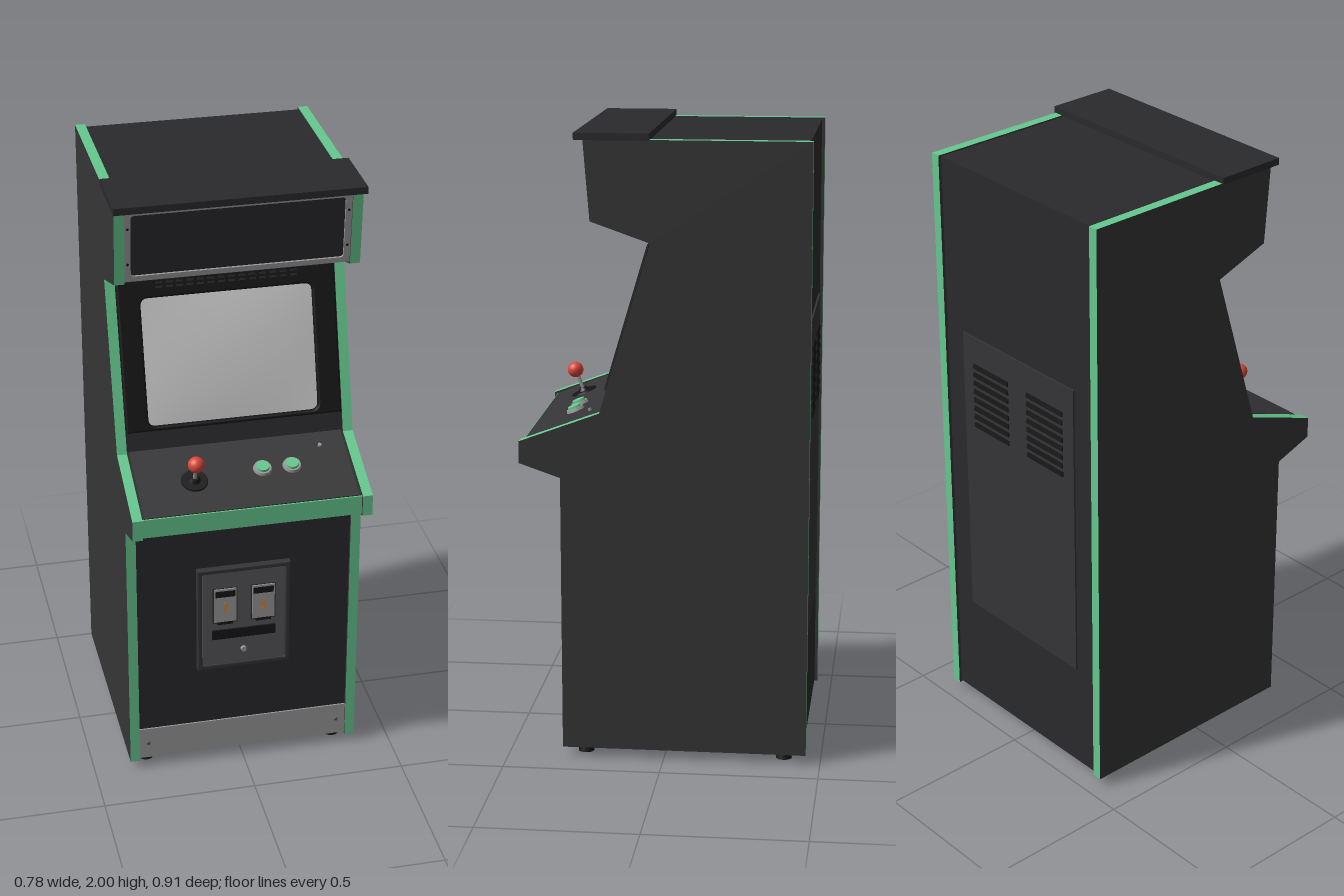
import * as THREE from 'three';

const mat = (color) => new THREE.MeshStandardMaterial({ color });
const M = {
  body: mat(0x2a2a2d), side: mat(0x363636), black: mat(0x161616), panel: mat(0x353537),
  door: mat(0x58585a), green: mat(0x66c98f), red: mat(0xd9483b), orange: mat(0xd98a2b),
  grey: mat(0xcccccc), metal: mat(0x9a9a9a),
};

function add(parent, name, geometry, material, x = 0, y = 0, z = 0) {
  const mesh = new THREE.Mesh(geometry, material);
  mesh.name = name;
  mesh.position.set(x, y, z);
  parent.add(mesh);
  return mesh;
}
const box = (w, h, d) => new THREE.BoxGeometry(w, h, d);
// disc or rod whose axis points along +z
const rod = (r0, r1, h, n = 32) => new THREE.CylinderGeometry(r1, r0, h, n).rotateX(Math.PI / 2);

// extrude a [z, y] profile across x, from x1 - width to x1
function slab(points, width, x1) {
  const shape = new THREE.Shape(points.map(([z, y]) => new THREE.Vector2(z, y)));
  return new THREE.ExtrudeGeometry(shape, { depth: width, bevelEnabled: false })
    .rotateY(-Math.PI / 2).translate(x1, 0, 0);
}

// group lying on the sloped face from a (lower) to b (upper), local +z facing outwards
function slopeGroup(parent, name, a, b) {
  const g = new THREE.Group();
  g.name = name;
  g.position.set(0, (a[1] + b[1]) / 2, (a[0] + b[0]) / 2);
  g.rotation.x = Math.atan2(b[0] - a[0], b[1] - a[1]);
  parent.add(g);
  return g;
}

function roundRect(path, x0, y0, x1, y1, r) {
  path.moveTo(x0 + r, y0);
  path.lineTo(x1 - r, y0).quadraticCurveTo(x1, y0, x1, y0 + r);
  path.lineTo(x1, y1 - r).quadraticCurveTo(x1, y1, x1 - r, y1);
  path.lineTo(x0 + r, y1).quadraticCurveTo(x0, y1, x0, y1 - r);
  path.lineTo(x0, y0 + r).quadraticCurveTo(x0, y0, x0 + r, y0);
  return path;
}

// rectangular frame with a rounded window, front face at z = 0
function frame(w, h, x0, y0, x1, y1, r, depth, bevel) {
  const s = new THREE.Shape([[-w, -h], [w, -h], [w, h], [-w, h]].map(([x, y]) => new THREE.Vector2(x / 2, y / 2)));
  s.holes.push(roundRect(new THREE.Path(), x0, y0, x1, y1, r));
  return new THREE.ExtrudeGeometry(s, {
    depth, bevelEnabled: bevel > 0, bevelSize: bevel, bevelThickness: bevel,
    bevelOffset: -bevel, bevelSegments: 2, curveSegments: 8,
  }).translate(0, 0, -depth - bevel);
}

export function createModel() {
  const root = new THREE.Group();
  root.name = 'arcadeCabinet';

  // side panels with coloured edge trim
  const profile = [[-0.455, 0.03], [0.325, 0.03], [0.325, 0.92], [0.455, 0.965], [0.455, 1.035],
    [0.2, 1.13], [0.04, 1.665], [0.225, 1.73], [0.245, 1.98], [-0.455, 1.98]];
  add(root, 'leftSidePanel', slab(profile, 0.032, 0.382), [M.side, M.green]);
  add(root, 'rightSidePanel', slab(profile, 0.032, -0.35), [M.side, M.green]);

  // cabinet core, set slightly inside the side panels
  add(root, 'cabinetBody', slab([[-0.445, 0.036], [0.315, 0.036], [0.315, 0.925], [0.442, 0.968],
    [0.442, 1.03], [0.19, 1.13], [0.175, 1.19], [0.155, 1.19], [0.01, 1.68], [0.213, 1.74],
    [0.23, 1.975], [-0.445, 1.975]], 0.7, 0.35), M.body);
  add(root, 'topCap', box(0.776, 0.022, 0.232), M.body, 0, 1.989, 0.157);

  // lit sign box
  const sign = slopeGroup(root, 'marquee', [0.217, 1.735], [0.237, 1.975]);
  add(sign, 'marqueeFrame', frame(0.7, 0.24, -0.33, -0.103, 0.33, 0.103, 0.012, 0.014, 0), M.metal, 0, 0, 0.003);
  add(sign, 'marqueePanel', box(0.68, 0.22, 0.008), M.body, 0, 0, -0.008);
  for (const x of [-1, 1]) for (const y of [-0.06, 0.06])
    add(sign, 'marqueeScrew', rod(0.004, 0.004, 0.004, 10), M.black, x * 0.34, y, 0.004);

  // monitor bezel and curved screen
  const monitor = slopeGroup(root, 'monitor', [0.19, 1.195], [0.052, 1.66]);
  add(monitor, 'bezel', frame(0.696, 0.484, -0.275, -0.227, 0.273, 0.18, 0.025, 0.022, 0.006), M.black);
  const glass = new THREE.PlaneGeometry(0.56, 0.42, 20, 16);
  const p = glass.attributes.position;
  for (let i = 0; i < p.count; i++) {
    const u = p.getX(i) / 0.28, v = p.getY(i) / 0.21;
    p.setZ(i, 0.012 * (1 - u * u) * (1 - v * v));
  }
  glass.computeVertexNormals();
  add(monitor, 'screen', glass, M.grey, 0, -0.0235, -0.016);
  for (let row = 0; row < 2; row++) for (let i = 0; i < 14; i++)
    add(monitor, 'speakerSlot', box(0.022, 0.006, 0.002), M.body, (i - 6.5) * 0.033, 0.213 + row * 0.014, 0.0005);

  // control deck
  const deck = slopeGroup(root, 'controlPanel', [0.442, 1.03], [0.19, 1.13]);
  add(deck, 'controlPlate', box(0.685, 0.268, 0.006), M.panel, 0, 0, 0.001);
  add(root, 'controlFrontTrim', box(0.7, 0.064, 0.006), M.green, 0, 0.999, 0.443);

  const stick = new THREE.Group();
  stick.name = 'joystick';
  stick.position.set(-0.16, -0.008, 0.004);
  deck.add(stick);
  add(stick, 'joystickBase', rod(0.043, 0.041, 0.005), M.black, 0, 0, 0.0025);
  add(stick, 'joystickBoot', rod(0.02, 0.012, 0.012), M.black, 0, 0, 0.01);
  add(stick, 'joystickShaft', rod(0.006, 0.006, 0.08, 16), M.metal, 0, 0, 0.042);
  add(stick, 'joystickBall', new THREE.SphereGeometry(0.026, 32, 20), M.red, 0, 0, 0.08);

  for (const x of [0.062, 0.157]) {
    const b = new THREE.Group();
    b.name = 'button';
    b.position.set(x, 0.011, 0.004);
    deck.add(b);
    add(b, 'buttonRing', rod(0.03, 0.027, 0.009), M.metal, 0, 0, 0.0045);
    add(b, 'buttonCap', rod(0.022, 0.02, 0.01), M.green, 0, 0, 0.012);
  }
  add(deck, 'smallKnob', rod(0.006, 0.006, 0.008, 16), M.metal, 0.262, 0.078, 0.007);

  // coin door
  const door = new THREE.Group();
  door.name = 'coinDoor';
  door.position.set(-0.002, 0.56, 0.315);
  root.add(door);
  add(door, 'doorFrame', frame(0.306, 0.38, -0.138, -0.175, 0.138, 0.175, 0.005, 0.018, 0.003), M.panel, 0, 0, 0.022);
  add(door, 'doorLeaf', box(0.272, 0.346, 0.016), M.door, 0, 0, 0.008);
  for (const x of [-0.063, 0.063]) {
    add(door, 'coinSurround', box(0.082, 0.134, 0.008), M.panel, x, 0.053, 0.019);
    add(door, 'coinPlate', box(0.074, 0.124, 0.012), M.metal, x, 0.055, 0.021);
    add(door, 'coinSlotBar', box(0.066, 0.022, 0.004), M.black, x, 0.099, 0.027);
    add(door, 'coinMarker', box(0.008, 0.036, 0.002), M.orange, x, 0.045, 0.0275);
    add(door, 'coinButtonLip', box(0.05, 0.012, 0.008), M.black, x, -0.012, 0.022);
  }
  add(door, 'coinReturn', box(0.21, 0.034, 0.008), M.black, 0, -0.06, 0.018);
  add(door, 'doorLock', rod(0.01, 0.009, 0.01, 20), M.metal, 0, -0.125, 0.02);

  // kick plate and its screws
  add(root, 'kickPlate', box(0.7, 0.114, 0.006), M.metal, 0, 0.094, 0.317);
  for (const x of [-0.32, 0.32]) {
    add(root, 'kickPlateScrew', rod(0.007, 0.006, 0.004, 12), M.door, x, 0.094, 0.321);
    // feet
    for (const z of [0.257, -0.382]) {
      add(root, 'foot', new THREE.CylinderGeometry(0.022, 0.026, 0.018, 20), M.black, x, 0.009, z);
      add(root, 'footStem', new THREE.CylinderGeometry(0.012, 0.012, 0.024, 12), M.black, x, 0.026, z);
    }
  }

  // rear service panel with two banks of louvres
  add(root, 'rearPanel', box(0.53, 1.01, 0.008), M.panel, 0, 0.905, -0.447);
  for (const x of [-0.13, 0.13]) for (let i = 0; i < 8; i++) {
    const louvre = add(root, 'louvre', box(0.17, 0.016, 0.005), M.black, x, 1.1 + i * 0.03, -0.452);
    louvre.rotation.x = 0.2;
  }
  return root;
}
